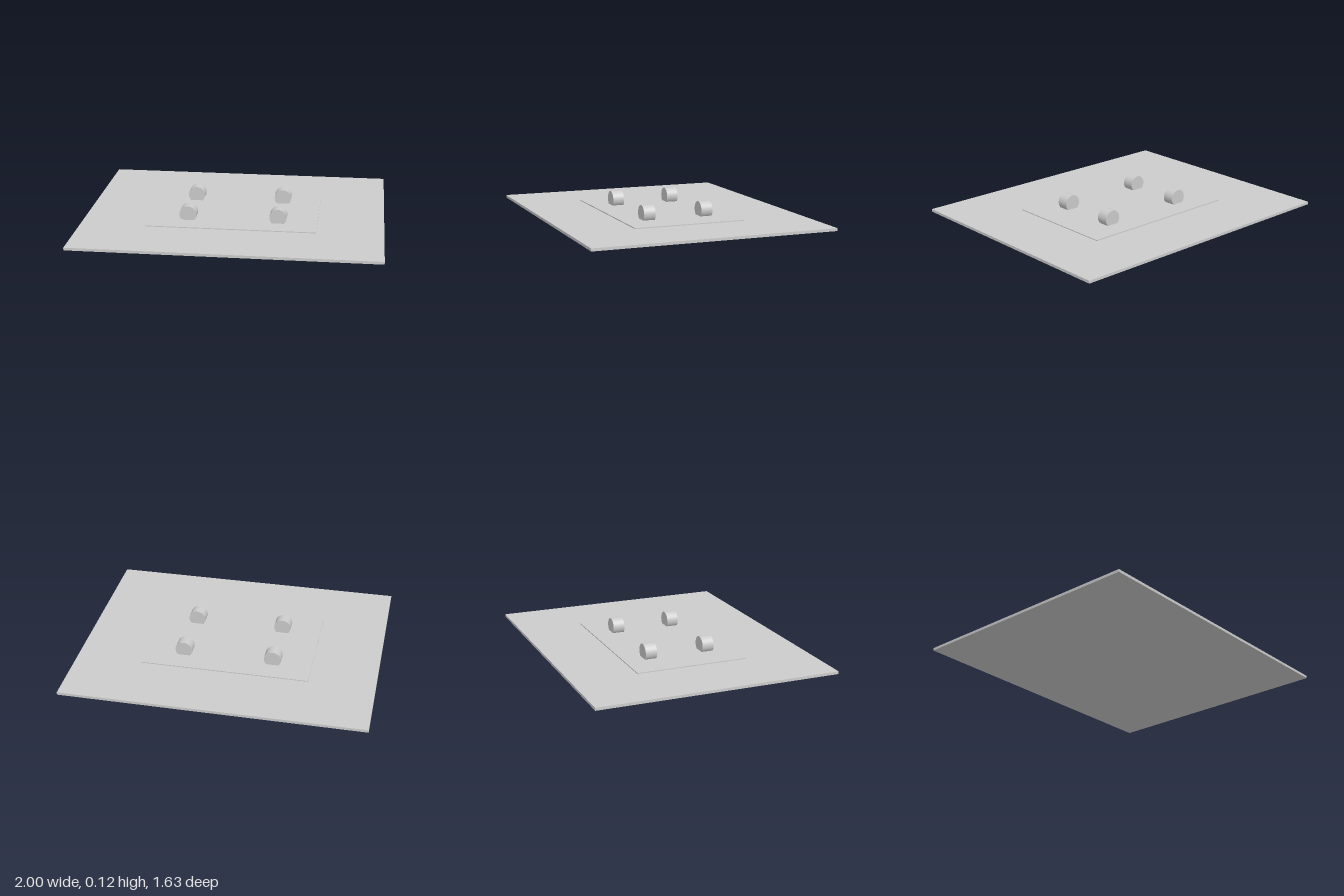
import * as THREE from 'three';

export function createModel() {
  const model = new THREE.Group();
  const material = new THREE.MeshStandardMaterial({ color: 0xcccccc });

  function add(name, geometry, x, y, z) {
    const mesh = new THREE.Mesh(geometry, material);
    mesh.name = name;
    mesh.position.set(x, y, z);
    model.add(mesh);
  }

  // Wide ground slab with a thin raised panel in the middle
  add('baseSlab', new THREE.BoxGeometry(2, 0.018, 1.63), 0, 0.009, 0);
  add('raisedPanel', new THREE.BoxGeometry(1.12, 0.014, 0.76), 0, 0.017, 0);

  // Four short rollers lying along z, sunk partly into the panel
  const roller = new THREE.CylinderGeometry(0.057, 0.057, 0.08, 24).rotateX(Math.PI / 2);
  for (const [side, x] of [['Left', 0.301], ['Right', -0.301]]) {
    for (const [end, z] of [['front', 0.202], ['back', -0.202]]) {
      add(`${end}${side}Roller`, roller, x, 0.063, z);
    }
  }

  return model;
}
